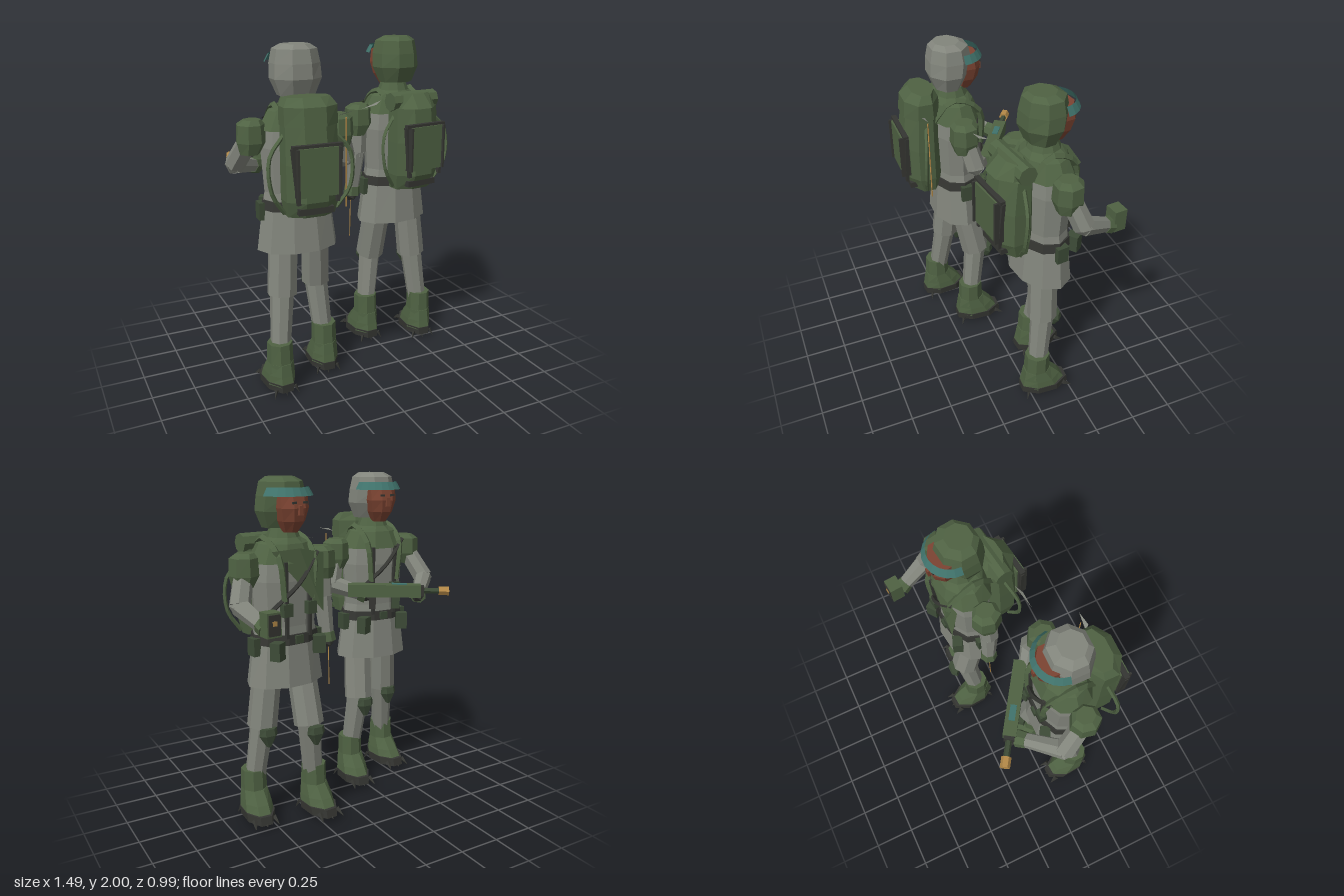
import * as THREE from 'three';

const mat = (name, hex) => {
  const m = new THREE.MeshStandardMaterial({ color: hex });
  m.name = name;
  return m;
};
const M = {
  grey: mat('greyCloth', 0x82857c),
  green: mat('oliveGreen', 0x4f6243),
  deep: mat('deepGreen', 0x3d4b37),
  dark: mat('darkLeather', 0x353632),
  skin: mat('brownFace', 0x7c4432),
  teal: mat('tealBand', 0x40736c),
  gold: mat('brass', 0xb58a48),
};
M.green.side = M.grey.side = M.teal.side = THREE.DoubleSide;

const V = (a) => new THREE.Vector3(...a);

// Adds a faceted mesh to a parent
function add(parent, name, geo, m, pos = [0, 0, 0], rot = [0, 0, 0]) {
  const g = geo.index ? geo.toNonIndexed() : geo;
  g.computeVertexNormals();
  const mesh = new THREE.Mesh(g, m);
  mesh.name = name;
  mesh.position.set(...pos);
  mesh.rotation.set(...rot);
  parent.add(mesh);
  return mesh;
}
const box = (p, name, size, m, pos, rot) => add(p, name, new THREE.BoxGeometry(...size), m, pos, rot);

// Skin over horizontal rings, listed top to bottom: [y, halfX, halfZ, centreX, centreZ]
function loft(p, name, rings, m, n = 8, pos) {
  const k = 1 / Math.cos(Math.PI / n);
  const g = new THREE.CylinderGeometry(k, k, 1, n, rings.length - 1, false, Math.PI / n);
  const a = g.attributes.position;
  for (let i = 0; i < a.count; i++) {
    const [y, rx, rz, cx = 0, cz = 0] = rings[Math.round((0.5 - a.getY(i)) * (rings.length - 1))];
    a.setXYZ(i, a.getX(i) * rx + cx, y, a.getZ(i) * rz + cz);
  }
  return add(p, name, g, m, pos);
}

// Tapered limb between two points
function limb(p, name, a, b, ra, rb, m, n = 8) {
  const A = V(a), B = V(b), d = B.clone().sub(A);
  const mesh = add(p, name, new THREE.CylinderGeometry(rb, ra, d.length(), n), m);
  mesh.position.copy(A).add(B).multiplyScalar(0.5);
  mesh.quaternion.setFromUnitVectors(new THREE.Vector3(0, 1, 0), d.normalize());
  return mesh;
}
const tube = (p, name, pts, r, m) =>
  add(p, name, new THREE.TubeGeometry(new THREE.CatmullRomCurve3(pts.map(V)), 10, r, 4), m);

// Thin open triangle
function flap(p, name, pts, m) {
  add(p, name, new THREE.BufferGeometry().setFromPoints(pts.map(V)), m);
}

function makeHead(p, hoodMat) {
  const head = new THREE.Group();
  head.name = 'head';
  p.add(head);
  loft(head, 'hood', [[2.0, 0.075, 0.07, 0, 0.02], [1.975, 0.115, 0.105, 0, 0.01], [1.9, 0.13, 0.12, 0, 0.01],
    [1.82, 0.135, 0.115, 0, 0.02], [1.73, 0.1, 0.075, 0, 0.025]], hoodMat);
  loft(head, 'face', [[1.92, 0.085, 0.06, 0, -0.09], [1.84, 0.088, 0.075, 0, -0.095],
    [1.77, 0.07, 0.07, 0, -0.085], [1.71, 0.04, 0.045, 0, -0.07]], M.skin);
  box(head, 'nose', [0.025, 0.05, 0.02], M.skin, [0, 1.83, -0.172]);
  for (const s of [-1, 1]) box(head, 'eye', [0.028, 0.012, 0.006], M.dark, [s * 0.034, 1.87, -0.167]);
  // Curved brow band
  const band = new THREE.CylinderGeometry(0.125, 0.15, 0.045, 10, 1, true, Math.PI * 0.52, Math.PI * 0.96);
  add(head, 'browBand', band, M.teal, [0, 1.925, -0.035]);
  loft(head, 'neck', [[1.76, 0.06, 0.06], [1.64, 0.065, 0.065]], M.deep);
}

function makePack(p, tall) {
  const pack = new THREE.Group();
  pack.name = 'backpack';
  p.add(pack);
  loft(pack, 'packBody', [[tall ? 1.62 : 1.6, 0.145, 0.1, 0, 0.2], [1.4, 0.15, 0.115, 0, 0.21],
    [1.2, 0.15, 0.115, 0, 0.21], [1.11, 0.135, 0.085, 0, 0.2]], M.green);
  if (tall) {
    loft(pack, 'packLid', [[1.745, 0.12, 0.065, 0, 0.185], [1.7, 0.15, 0.1, 0, 0.2],
      [1.6, 0.15, 0.11, 0, 0.2]], M.green);
  } else {
    limb(pack, 'bedroll', [-0.16, 1.635, 0.19], [0.16, 1.635, 0.19], 0.055, 0.055, M.green, 8);
    loft(pack, 'packLid', [[1.68, 0.1, 0.05, 0, 0.2], [1.6, 0.125, 0.11, 0, 0.21]], M.green);
  }
  // Rear pocket and its dark frame
  box(pack, 'rearPocket', [0.22, 0.26, 0.05], M.green, [0, 1.37, 0.325]);
  for (const s of [-1, 1]) {
    limb(pack, 'pocketFrame', [s * 0.135, 1.5, 0.32], [s * 0.11, 1.2, 0.33], 0.014, 0.014, M.dark, 4);
    box(pack, 'pocketEdge', [0.012, 0.26, 0.055], M.dark, [s * 0.117, 1.37, 0.335]);
    tube(pack, 'sideStrap', [[s * 0.14, 1.55, 0.2], [s * 0.23, 1.44, 0.23], [s * 0.225, 1.25, 0.24],
      [s * 0.15, 1.13, 0.22]], 0.012, M.green);
    tube(pack, 'shoulderStrap', [[s * 0.1, 1.56, 0.14], [s * 0.12, 1.68, 0.03], [s * 0.115, 1.59, -0.13],
      [s * 0.09, 1.35, -0.145]], 0.02, M.green);
  }
  box(pack, 'frameTop', [0.28, 0.02, 0.03], M.dark, [0, 1.505, 0.325]);
  box(pack, 'frameBottom', [0.2, 0.035, 0.05], M.dark, [0, 1.15, 0.285]);
}

function makeTorso(p, shawl) {
  loft(p, 'tunic', [[1.64, 0.11, 0.09], [1.57, 0.18, 0.125], [1.45, 0.195, 0.135], [1.2, 0.18, 0.125],
    [1.12, 0.195, 0.13], [0.86, 0.23, 0.155]], M.grey, 10);
  loft(p, 'collarCape', [[1.73, 0.07, 0.07], [1.68, 0.09, 0.09], [1.65, 0.15, 0.115], [1.55, 0.205, 0.15]], M.green, 10);
  loft(p, 'belt', [[1.155, 0.195, 0.14], [1.1, 0.203, 0.145]], M.dark, 10);
  for (const s of [-1, 1]) {
    box(p, 'beltPouch', [0.07, 0.1, 0.06], M.deep, [s * 0.14, 1.08, -0.14], [0, s * 0.5, 0]);
    box(p, 'hipPouch', [0.05, 0.1, 0.07], M.deep, [s * 0.205, 1.09, -0.01]);
    limb(p, 'chestStrap', [s * 0.08, 1.56, -0.142], [s * 0.075, 1.14, -0.14], 0.013, 0.013, M.dark, 4);
    box(p, 'chestPouch', [0.06, 0.07, 0.04], M.deep, [s * 0.08, 1.3, -0.145]);
  }
  box(p, 'buckle', [0.05, 0.045, 0.02], M.deep, [0, 1.128, -0.145]);
  tube(p, 'sling', [[-0.14, 1.6, -0.13], [0, 1.45, -0.165], [0.16, 1.3, -0.12]], 0.014, M.dark);
  if (shawl) {
    flap(p, 'shawl', [[0.16, 1.62, -0.13], [0, 1.63, -0.16], [-0.15, 1.27, -0.17]], M.green);
    flap(p, 'shawl', [[0, 1.63, -0.16], [-0.18, 1.59, -0.13], [-0.15, 1.27, -0.17]], M.green);
  }
}

// Leg through hip, knee and ankle, with knee pad and boot
function makeLeg(p, hip, knee, ankle, turn) {
  const leg = new THREE.Group();
  leg.name = 'leg';
  p.add(leg);
  limb(leg, 'thigh', hip, knee, 0.085, 0.088, M.grey);
  limb(leg, 'shin', [knee[0], knee[1] + 0.02, knee[2]], ankle, 0.07, 0.058, M.grey);
  loft(leg, 'kneePad', [[0.04, 0.045, 0.022], [0.0, 0.05, 0.03], [-0.07, 0.012, 0.015]], M.deep, 6,
    [knee[0], knee[1] - 0.03, knee[2] - 0.085]);
  const boot = new THREE.Group();
  boot.name = 'boot';
  boot.position.set(ankle[0], 0, ankle[2]);
  boot.rotation.y = turn;
  leg.add(boot);
  loft(boot, 'bootShaft', [[0.32, 0.068, 0.07], [0.2, 0.07, 0.075], [0.15, 0.075, 0.08]], M.green);
  loft(boot, 'bootFoot', [[0.2, 0.07, 0.08, 0, 0], [0.13, 0.08, 0.115, 0, -0.025], [0.07, 0.085, 0.14, 0, -0.04]], M.green);
  loft(boot, 'sole', [[0.085, 0.087, 0.145, 0, -0.045], [0.035, 0.083, 0.15, 0, -0.05]], M.dark);
  for (const x of [-0.06, 0, 0.06]) {
    limb(boot, 'toeSpike', [x, 0.06, -0.16], [x * 1.2, 0.03, -0.21], 0.018, 0.002, M.dark, 4);
    limb(boot, 'heelSpike', [x, 0.05, 0.07], [x * 1.3, 0.005, 0.085], 0.012, 0.001, M.dark, 4);
  }
}

// Arm through shoulder, elbow and hand
function makeArm(p, shoulder, elbow, hand, side) {
  const arm = new THREE.Group();
  arm.name = 'arm';
  p.add(arm);
  loft(arm, 'shoulderPad', [[0.09, 0.045, 0.05, -side * 0.01], [0.065, 0.07, 0.075], [-0.03, 0.075, 0.08],
    [-0.095, 0.05, 0.06, side * 0.01]], M.green, 7, shoulder);
  limb(arm, 'upperArm', shoulder, elbow, 0.055, 0.06, M.grey, 7);
  add(arm, 'elbow', new THREE.IcosahedronGeometry(0.058, 0), M.grey, elbow);
  const E = V(elbow), H = V(hand);
  const wrist = E.clone().lerp(H, 0.78).toArray();
  limb(arm, 'forearm', elbow, wrist, 0.055, 0.043, M.grey, 7);
  limb(arm, 'cuff', wrist, E.lerp(H, 0.98).toArray(), 0.046, 0.052, M.green, 7);
  add(arm, 'glove', new THREE.IcosahedronGeometry(0.04, 0), M.dark, hand);
}

function makeFigure(name, x, z, yaw, hoodMat, tall) {
  const figure = new THREE.Group();
  figure.name = name;
  const body = new THREE.Group();
  body.name = 'body';
  body.position.set(x, 0, z);
  body.rotation.y = yaw;
  figure.add(body);
  makeTorso(body, !tall);
  makeHead(body, hoodMat);
  makePack(body, tall);
  return figure;
}

export function createModel() {
  const root = new THREE.Group();
  root.name = 'twoTravellers';

  // Figure carrying a long tool across the chest
  const a = makeFigure('greyHoodFigure', -0.375, 0.125, -0.02, M.grey, true);
  makeLeg(a, [-0.47, 0.92, 0.14], [-0.495, 0.59, 0.17], [-0.54, 0.2, 0.23], 0.08);
  makeLeg(a, [-0.26, 0.92, 0.11], [-0.235, 0.59, 0.05], [-0.205, 0.2, 0.1], -0.06);
  makeArm(a, [-0.635, 1.52, 0.13], [-0.69, 1.34, 0.0], [-0.5, 1.27, -0.2], -1);
  makeArm(a, [-0.115, 1.52, 0.14], [-0.06, 1.34, 0.1], [-0.24, 1.27, -0.03], 1);
  const tool = new THREE.Group();
  tool.name = 'longTool';
  tool.position.set(-0.31, 1.31, -0.115);
  tool.rotation.y = -0.59;
  a.add(tool);
  box(tool, 'toolBody', [0.44, 0.075, 0.075], M.green, [0, 0, 0]);
  box(tool, 'toolInlay', [0.09, 0.006, 0.035], M.teal, [-0.09, 0.04, 0]);
  box(tool, 'toolGrip', [0.04, 0.09, 0.035], M.dark, [0.07, -0.07, 0]);
  box(tool, 'toolMagazine', [0.05, 0.08, 0.04], M.deep, [-0.07, -0.07, 0]);
  box(tool, 'toolCollar', [0.03, 0.06, 0.06], M.dark, [-0.225, 0, 0]);
  limb(tool, 'barrel', [-0.22, 0, 0], [-0.35, 0, 0], 0.018, 0.018, M.deep, 6);
  limb(tool, 'muzzle', [-0.33, 0, 0], [-0.39, 0, 0], 0.028, 0.028, M.gold, 6);
  limb(a, 'packCord', [-0.165, 1.62, 0.34], [-0.165, 1.12, 0.34], 0.004, 0.004, M.gold, 4);
  flap(a, 'scarfTail', [[-0.22, 1.63, 0.34], [-0.12, 1.655, 0.35], [-0.2, 1.645, 0.365]], M.grey);

  // Figure holding out a small device
  const b = makeFigure('greenHoodFigure', 0.375, -0.12, 0.13, M.green, false);
  makeLeg(b, [0.275, 0.92, -0.12], [0.265, 0.59, -0.2], [0.215, 0.2, -0.16], 0.08);
  makeLeg(b, [0.48, 0.92, -0.1], [0.515, 0.59, -0.09], [0.56, 0.2, -0.05], -0.06);
  makeArm(b, [0.115, 1.52, -0.085], [0.105, 1.32, -0.08], [0.08, 1.04, -0.1], -1);
  makeArm(b, [0.625, 1.52, -0.15], [0.685, 1.34, -0.22], [0.625, 1.25, -0.42], 1);
  box(b, 'device', [0.085, 0.13, 0.075], M.green, [0.62, 1.285, -0.455], [0, 0.1, 0]);
  box(b, 'deviceFace', [0.07, 0.11, 0.006], M.dark, [0.616, 1.285, -0.494], [0, 0.1, 0]);
  box(b, 'deviceDial', [0.025, 0.025, 0.006], M.gold, [0.616, 1.295, -0.498], [0, 0.1, 0]);
  limb(b, 'hangingCord', [0.075, 1.04, -0.1], [0.07, 0.77, -0.1], 0.003, 0.003, M.gold, 4);
  flap(b, 'scarfTail', [[0.03, 1.62, 0.145], [0.17, 1.655, 0.11], [0.12, 1.635, 0.14]], M.grey);

  root.add(a, b);
  return root;
}
